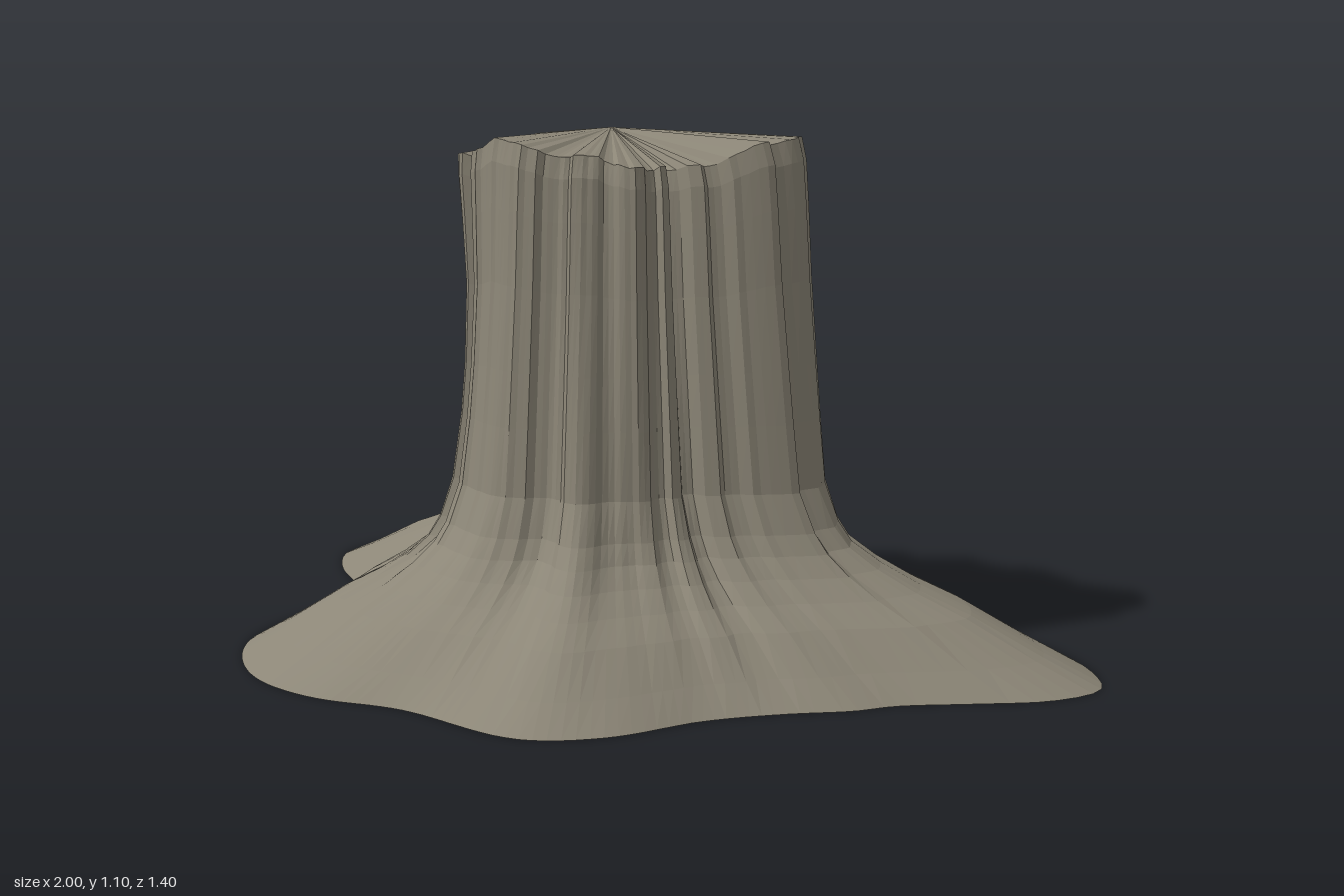
import * as THREE from 'three';

const SEG = 180;
const CX = -0.07, CZ = -0.04; // trunk axis

// Outline of the root flare on the ground (x, z)
const ROOTS = [
  [1, -0.18], [0.95, -0.28], [0.83, -0.385], [0.6, -0.475], [0.41, -0.52], [0.22, -0.555],
  [0.11, -0.62], [0.02, -0.68], [-0.1, -0.705], [-0.21, -0.685], [-0.305, -0.665], [-0.45, -0.685],
  [-0.64, -0.68], [-0.8, -0.62], [-0.93, -0.5], [-1, -0.315], [-0.995, -0.235], [-0.9, -0.11],
  [-0.77, -0.01], [-0.685, 0.075], [-0.705, 0.27], [-0.675, 0.46], [-0.58, 0.59], [-0.45, 0.675],
  [-0.29, 0.7], [-0.1, 0.665], [0.19, 0.685], [0.325, 0.59], [0.43, 0.41], [0.54, 0.29],
  [0.645, 0.2], [0.7, 0.13], [0.83, 0.03], [0.945, -0.065],
];

// Outline of the trunk's foot, where the roots begin (x, z)
const FOOT = [
  [0.48, -0.09], [0.4, -0.21], [0.27, -0.28], [0.14, -0.33], [0.03, -0.395], [-0.1, -0.365],
  [-0.21, -0.34], [-0.33, -0.31], [-0.47, -0.26], [-0.47, -0.14], [-0.4, -0.03], [-0.42, 0.05],
  [-0.35, 0.14], [-0.31, 0.27], [-0.22, 0.34], [-0.13, 0.38], [0, 0.335], [0.11, 0.375],
  [0.17, 0.27], [0.27, 0.13], [0.37, 0.06], [0.44, -0.01],
];

// Jagged outline of the cut top (x, z, rim height)
const CUT = [
  [0.34, -0.1, 1.08], [0.32, -0.155, 1.08], [0.265, -0.225, 1.06], [0.165, -0.235, 1.035],
  [0.11, -0.26, 1.05], [0.03, -0.29, 1.065], [-0.05, -0.28, 1.05], [-0.18, -0.29, 1.065],
  [-0.235, -0.25, 1.03], [-0.39, -0.26, 1.075], [-0.405, -0.18, 1.05], [-0.39, -0.155, 1.035],
  [-0.315, -0.075, 1.03], [-0.3, -0.01, 1.04], [-0.325, 0.04, 1.04], [-0.28, 0.11, 1.03],
  [-0.29, 0.19, 1.035], [-0.21, 0.235, 1.05], [-0.155, 0.255, 1.08], [-0.02, 0.245, 1.05],
  [0.06, 0.21, 1.05], [0.13, 0.19, 1.025], [0.14, 0.085, 1.02], [0.235, 0.04, 1.03], [0.295, -0.01, 1.065],
];

// Sections from ground to cut: height, blend from cut to foot, waist on the -x side, blend to roots
const LEVELS = [
  [0, 1, 0, 1], [0.05, 1, 0, 0.78], [0.12, 1, 0, 0.5], [0.16, 1, 0, 0.3], [0.2, 1, 0, 0.14],
  [0.24, 1, 0, 0.02], [0.28, 0.84, 0.01, 0], [0.36, 0.58, 0.025, 0], [0.5, 0.46, 0.045, 0],
  [0.6, 0.37, 0.05, 0], [0.75, 0.24, 0.045, 0], [0.88, 0.16, 0.025, 0], [0.96, 0.1, 0.01, 0], [1, 0, 0, 0],
];

// Radius and height of an outline as a function of the angle round the axis
function radial(points) {
  const polar = points
    .map(([x, z, y = 0]) => [Math.atan2(CZ - z, x - CX), Math.hypot(x - CX, z - CZ), y])
    .sort((a, b) => a[0] - b[0]);
  const turned = ([a, r, y], turn) => [a + turn * 2 * Math.PI, r, y];
  const ring = [turned(polar[polar.length - 1], -1), ...polar, turned(polar[0], 1)];
  return (angle) => {
    let k = 1;
    while (k < ring.length - 1 && ring[k][0] < angle) k++;
    const [a0, r0, y0] = ring[k - 1], [a1, r1, y1] = ring[k];
    const t = (angle - a0) / Math.max(a1 - a0, 1e-6);
    return [r0 + (r1 - r0) * t, y0 + (y1 - y0) * t];
  };
}

function hash(i) {
  const s = Math.sin(i * 127.1 + 11.7) * 43758.5453;
  return s - Math.floor(s);
}

function geometry(positions, index) {
  const g = new THREE.BufferGeometry();
  g.setAttribute('position', new THREE.Float32BufferAttribute(positions, 3));
  g.setIndex(index);
  g.computeVertexNormals();
  return g;
}

// Fan between a centre point and a ring
function fan(centre, ring, up) {
  const index = [];
  for (let i = 0; i < SEG; i++) {
    const a = i + 1, b = ((i + 1) % SEG) + 1;
    index.push(0, up ? a : b, up ? b : a);
  }
  return geometry([centre, ...ring].flat(), index);
}

export function createModel() {
  const group = new THREE.Group();
  group.name = 'treeStump';
  const material = new THREE.MeshStandardMaterial({ color: 0x8c8677, flatShading: true });

  const smoothRoots = new THREE.CatmullRomCurve3(
    ROOTS.map(([x, z]) => new THREE.Vector3(x, 0, z)), true).getPoints(200).slice(0, -1);
  const rootOutline = radial(smoothRoots.map((p) => [p.x, p.z]));
  const footOutline = radial(FOOT);
  const cutOutline = radial(CUT);
  const { lerp } = THREE.MathUtils;

  // Cross-sections: bark grooves fade out into the roots
  const rings = LEVELS.map(([h, spread, waist, flare]) => {
    const ring = [];
    for (let i = 0; i < SEG; i++) {
      const a = -Math.PI + (i / SEG) * 2 * Math.PI;
      const [cut, rimHeight] = cutOutline(a);
      const [foot] = footOutline(a);
      const [root] = rootOutline(a);
      const tooth = hash(Math.floor(i / 3)) - 0.5;
      const groove = tooth * 0.026 + (hash(i + 500) - 0.5) * 0.005;
      const trunk = lerp(cut, foot, spread) + groove - waist * Math.max(0, -Math.cos(a));
      const r = lerp(trunk, root, flare);
      const rim = rimHeight + 0.014 * tooth;
      const y = h < 0.5 ? h : 0.5 + (h - 0.5) * (rim - 0.5) / 0.5;
      ring.push([CX + r * Math.cos(a), y, CZ - r * Math.sin(a)]);
    }
    return ring;
  });

  // Bark skin from ground to cut
  const index = [];
  for (let j = 0; j < rings.length - 1; j++) {
    for (let i = 0; i < SEG; i++) {
      const n = (i + 1) % SEG;
      const a = j * SEG + i, b = j * SEG + n, c = b + SEG, d = a + SEG;
      index.push(a, b, c, a, c, d);
    }
  }
  const add = (name, g) => {
    const mesh = new THREE.Mesh(g, material);
    mesh.name = name;
    group.add(mesh);
  };
  add('barkAndRoots', geometry(rings.flat(2), index));
  add('cutTop', fan([CX, 1.095, CZ], rings[rings.length - 1], true));
  add('underside', fan([CX, 0, CZ], rings[0], false));
  return group;
}
